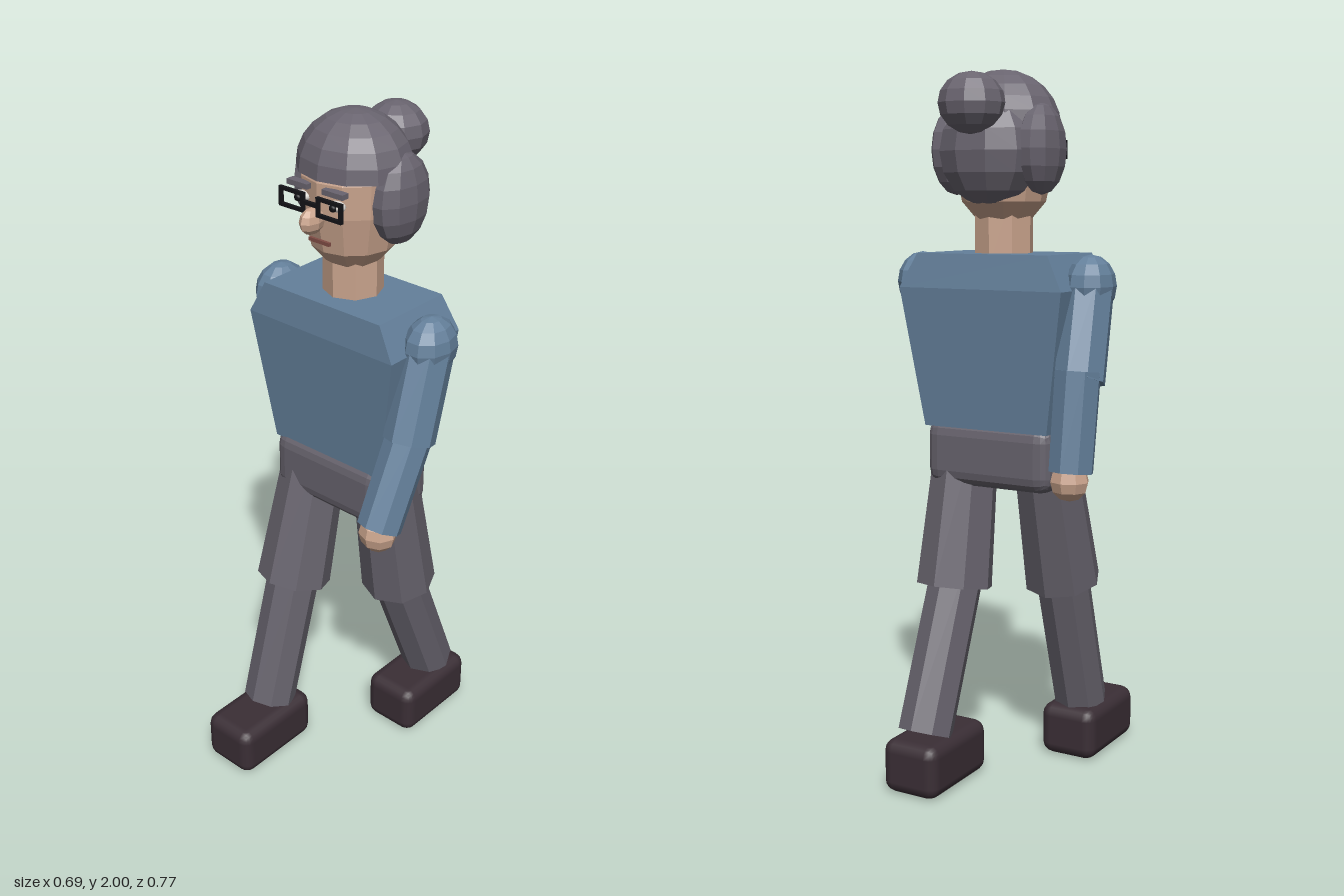
import * as THREE from 'three';
import { RoundedBoxGeometry } from 'three/addons/geometries/RoundedBoxGeometry.js';

const mat = (name, color, extra = {}) => {
  const m = new THREE.MeshStandardMaterial({ color, ...extra });
  m.name = name;
  return m;
};

export function createModel() {
  const flat = { flatShading: true };
  const shirt = mat('blue shirt', 0x64809b, flat);
  const trousers = mat('grey trousers', 0x66626c, flat);
  const hair = mat('grey hair', 0x69646f, { flatShading: true, side: THREE.DoubleSide });
  const skin = mat('skin', 0xcaa48d, flat);
  const shoe = mat('dark shoe', 0x3a2e35);
  const frame = mat('black frame', 0x131317);
  const white = mat('eye white', 0xe2dcd6);
  const lip = mat('lip', 0x804d45);

  const model = new THREE.Group();
  model.name = 'walkingFigure';

  const add = (name, geo, material, x = 0, y = 0, z = 0) => {
    const m = new THREE.Mesh(geo, material);
    m.name = name;
    m.position.set(x, y, z);
    model.add(m);
    return m;
  };
  const box = (name, w, h, d, material, x, y, z) =>
    add(name, new THREE.BoxGeometry(w, h, d), material, x, y, z);
  const ball = (name, rx, ry, rz, material, x, y, z, ws = 10, hs = 8) =>
    add(name, new THREE.SphereGeometry(1, ws, hs).scale(rx, ry, rz), material, x, y, z);
  // Tapered eight-sided limb from a top point to a bottom point
  const limb = (name, top, bottom, rTop, rBottom, material, squeeze = 1) => {
    const a = new THREE.Vector3(...top), b = new THREE.Vector3(...bottom);
    const up = a.clone().sub(b);
    const geo = new THREE.CylinderGeometry(rTop, rBottom, up.length(), 8).scale(squeeze, 1, 1);
    const m = add(name, geo, material);
    m.position.copy(a).add(b).multiplyScalar(0.5);
    m.quaternion.setFromUnitVectors(new THREE.Vector3(0, 1, 0), up.normalize());
  };

  // Torso: two stacked blocks whose ends are set by level [half width, back, front]
  const levels = { low: [0.195, -0.165, 0.055], ridge: [0.255, -0.198, 0.087], top: [0.205, -0.182, 0.078] };
  const block = (name, y0, y1, lower, upper) => {
    const geo = new THREE.BoxGeometry(2, 1, 2);
    const p = geo.attributes.position;
    for (let i = 0; i < p.count; i++) {
      const isTop = p.getY(i) > 0;
      const [hw, back, front] = isTop ? upper : lower;
      p.setXYZ(i, p.getX(i) * hw, isTop ? y1 : y0, p.getZ(i) > 0 ? front : back);
    }
    add(name, geo, shirt);
  };
  block('torso', 1.02, 1.41, levels.low, levels.ridge);
  block('shoulderYoke', 1.41, 1.505, levels.ridge, levels.top);

  add('pelvis', new RoundedBoxGeometry(0.4, 0.19, 0.235, 2, 0.045), trousers, 0, 0.945, -0.05);
  add('neck', new THREE.CylinderGeometry(0.083, 0.083, 0.2, 8), skin, 0, 1.57, -0.055);

  // Head with a fairly square jaw
  const profile = [[0, 1.59], [0.075, 1.597], [0.115, 1.645], [0.137, 1.75], [0.14, 1.84], [0.1, 1.93], [0, 1.96]];
  add('head', new THREE.LatheGeometry(profile.map(q => new THREE.Vector2(...q)), 12).scale(1, 1, 1.03),
    skin, 0, 0, -0.055);

  // Hair: cap, back, side puffs and bun
  add('hairCap', new THREE.SphereGeometry(1, 12, 6, 0, Math.PI * 2, 0, Math.PI * 0.5).scale(0.163, 0.155, 0.148),
    hair, 0, 1.845, -0.06);
  ball('backHair', 0.15, 0.15, 0.11, hair, 0, 1.78, -0.13);
  ball('bun', 0.091, 0.082, 0.089, hair, 0, 1.902, -0.223);

  // Nose and mouth
  ball('nose', 0.026, 0.036, 0.042, skin, 0, 1.745, 0.107, 8, 6);
  box('mouth', 0.07, 0.01, 0.008, lip, 0, 1.68, 0.078);
  box('glassesBridge', 0.05, 0.01, 0.01, frame, 0, 1.792, 0.112);

  for (const s of [-1, 1]) {
    ball('sideHair', 0.055, 0.122, 0.102, hair, s * 0.135, 1.785, -0.085);
    ball('eye', 0.026, 0.014, 0.018, white, s * 0.06, 1.79, 0.077, 10, 6);
    ball('pupil', 0.011, 0.011, 0.009, frame, s * 0.06, 1.79, 0.094, 8, 6);
    box('eyebrow', 0.07, 0.014, 0.024, hair, s * 0.06, 1.826, 0.086);
    // Rectangular spectacle rim
    for (const e of [-1, 1]) {
      box('glassesRimBar', 0.084, 0.009, 0.01, frame, s * 0.064, 1.79 + e * 0.022, 0.112);
      box('glassesRimPost', 0.009, 0.053, 0.01, frame, s * 0.064 + e * 0.038, 1.79, 0.112);
    }
    ball('shoulder', 0.067, 0.085, 0.085, shirt, s * 0.27, 1.42, -0.055);
  }

  // Arms swing opposite to the legs
  const arms = [
    { side: 'left', elbow: [0.275, 1.17, 0.03], wrist: [0.267, 0.94, 0.14], hand: [0.265, 0.925, 0.142] },
    { side: 'right', elbow: [-0.28, 1.17, -0.135], wrist: [-0.276, 0.93, -0.175], hand: [-0.272, 0.905, -0.175] },
  ];
  for (const { side, elbow, wrist, hand } of arms) {
    limb(side + 'UpperArm', [Math.sign(elbow[0]) * 0.265, 1.42, -0.055], elbow, 0.077, 0.077, shirt, 0.9);
    limb(side + 'Forearm', [elbow[0], elbow[1] + 0.03, elbow[2] - 0.01], wrist, 0.066, 0.064, shirt, 0.97);
    ball(side + 'Hand', 0.055, 0.055, 0.052, skin, ...hand, 8, 6);
  }

  // Striding legs and shoes
  const legs = [
    { side: 'left', x: 0.123, knee: -0.13, ankle: -0.29, foot: -0.238 },
    { side: 'right', x: -0.124, knee: 0.07, ankle: 0.19, foot: 0.238 },
  ];
  for (const { side, x, knee, ankle, foot } of legs) {
    limb(side + 'Thigh', [x, 1.0, -0.05], [x, 0.555, knee], 0.092, 0.111, trousers);
    limb(side + 'Shin', [x, 0.6, knee * 0.85], [x, 0.16, ankle], 0.079, 0.079, trousers);
    add(side + 'Shoe', new RoundedBoxGeometry(0.177, 0.155, 0.295, 2, 0.035), shoe, x, 0.0775, foot);
  }

  return model;
}
